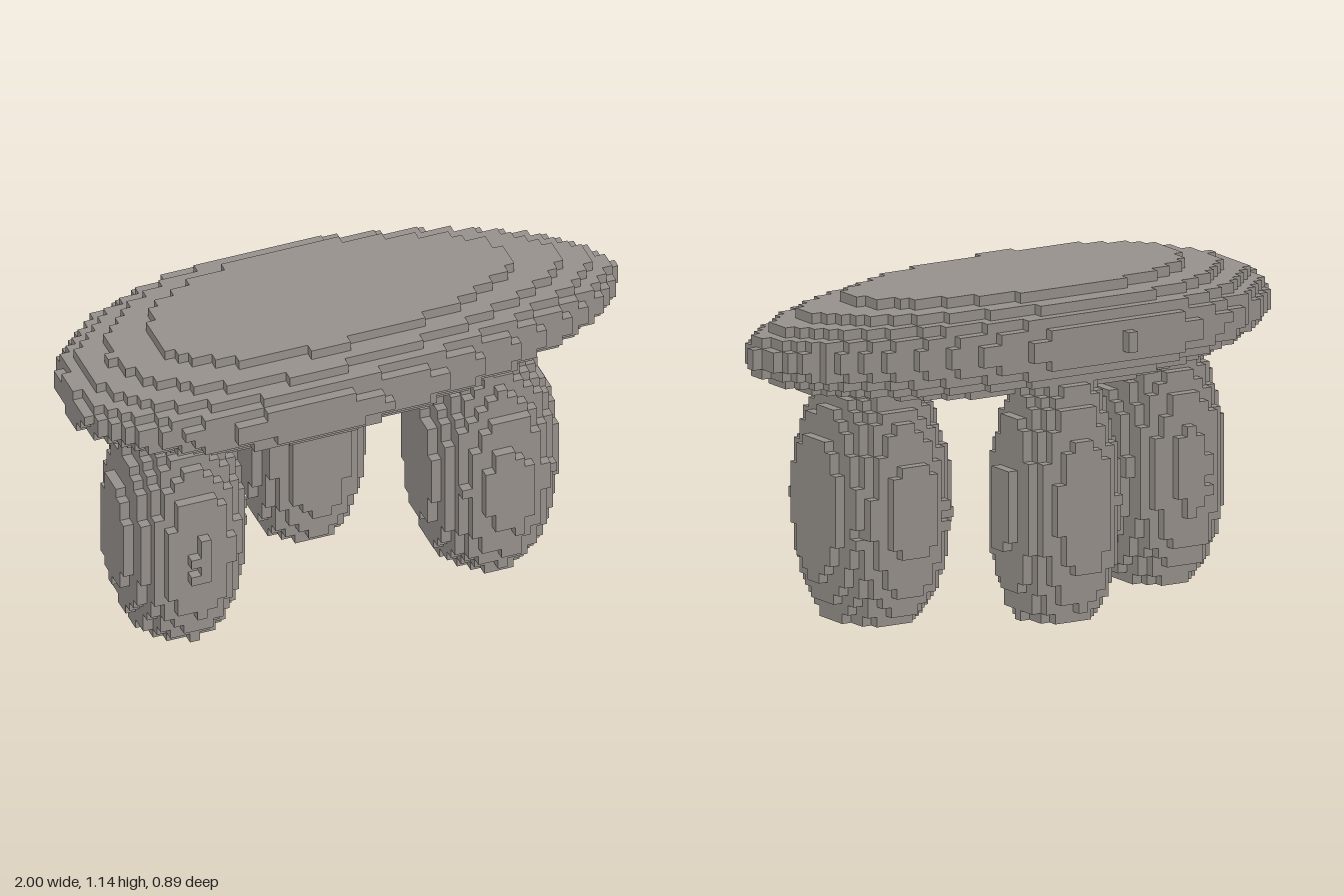
import * as THREE from 'three';

const V = 2 / 56;             // voxel edge
const NX = 56, NY = 32, NZ = 25;

// small repeatable roughness for the stone surface, range -0.5..0.5
function rough(i, j, k, seed) {
  const s = Math.sin(i * 12.99 + j * 78.23 + k * 37.72 + seed * 9.17) * 43758.55;
  return s - Math.floor(s) - 0.5;
}

// the six sides of a voxel: outward normal and two edge axes with u x v = n
const SIDES = [
  [[1, 0, 0], [0, 1, 0], [0, 0, 1]], [[-1, 0, 0], [0, 0, 1], [0, 1, 0]],
  [[0, 1, 0], [0, 0, 1], [1, 0, 0]], [[0, -1, 0], [1, 0, 0], [0, 0, 1]],
  [[0, 0, 1], [1, 0, 0], [0, 1, 0]], [[0, 0, -1], [0, 1, 0], [1, 0, 0]],
];

// builds the outer faces of all voxels whose centre satisfies field(x, y, z) < 1
function voxelGeometry(field, seed, noise) {
  const inGrid = (i, j, k) => i >= 0 && j >= 0 && k >= 0 && i < NX && j < NY && k < NZ;
  const filled = new Uint8Array(NX * NY * NZ);
  const at = (i, j, k) => (i * NY + j) * NZ + k;
  for (let i = 0; i < NX; i++) for (let j = 0; j < NY; j++) for (let k = 0; k < NZ; k++) {
    const f = field((i + 0.5 - NX / 2) * V, (j + 0.5) * V, (k + 0.5 - NZ / 2) * V);
    if (f + noise * rough(i, j, k, seed) < 1) filled[at(i, j, k)] = 1;
  }
  const pos = [], nor = [], idx = [];
  for (let i = 0; i < NX; i++) for (let j = 0; j < NY; j++) for (let k = 0; k < NZ; k++) {
    if (!filled[at(i, j, k)]) continue;
    const c = [(i + 0.5 - NX / 2) * V, (j + 0.5) * V, (k + 0.5 - NZ / 2) * V];
    for (const [n, u, v] of SIDES) {
      const q = [i + n[0], j + n[1], k + n[2]];
      if (inGrid(...q) && filled[at(...q)]) continue;
      const base = pos.length / 3;
      for (const [a, b] of [[-1, -1], [1, -1], [1, 1], [-1, 1]]) {
        for (let d = 0; d < 3; d++) pos.push(c[d] + (n[d] + a * u[d] + b * v[d]) * V / 2);
        nor.push(...n);
      }
      idx.push(base, base + 1, base + 2, base, base + 2, base + 3);
    }
  }
  const g = new THREE.BufferGeometry();
  g.setAttribute('position', new THREE.Float32BufferAttribute(pos, 3));
  g.setAttribute('normal', new THREE.Float32BufferAttribute(nor, 3));
  g.setIndex(idx);
  return g;
}

export function createModel() {
  const group = new THREE.Group();
  const stone = new THREE.MeshStandardMaterial({ color: 0x98938e });
  stone.name = 'stone grey';

  const add = (name, field, seed, noise) => {
    const mesh = new THREE.Mesh(voxelGeometry(field, seed, noise), stone);
    mesh.name = name;
    group.add(mesh);
  };

  // egg-shaped capstone, blunt at -x and pointed at +x, cut flat above and below,
  // with both ends bent slightly towards the front
  add('capstone', (x, y, z) => {
    if (y < 22 * V) return 9;
    const dy = y - 27 * V;
    const halfDepth = 0.425 * (1 - 0.26 * x);
    const bend = 0.008 + 0.035 * x * x;
    const shift = 0.014 + dy * dy;
    return ((x + shift) / 1.005) ** 2 + ((z - bend) / halfDepth) ** 2 + (dy / 0.21) ** 2;
  }, 1, 0.015);

  // three upright stones: rounded boulders cut flat at the ground
  const uprights = [
    ['rightUpright', -0.633, 0.085, 0.228, 0.276],
    ['backUpright', -0.042, -0.248, 0.213, 0.208],
    ['leftUpright', 0.484, 0.088, 0.246, 0.288],
  ];
  uprights.forEach(([name, cx, cz, rx, rz], n) => {
    add(name, (x, y, z) =>
      ((x - cx) / rx) ** 2 + ((y - 0.405) / 0.49) ** 2 + ((z - cz) / rz) ** 2, n + 2, 0.05);
  });
  return group;
}
